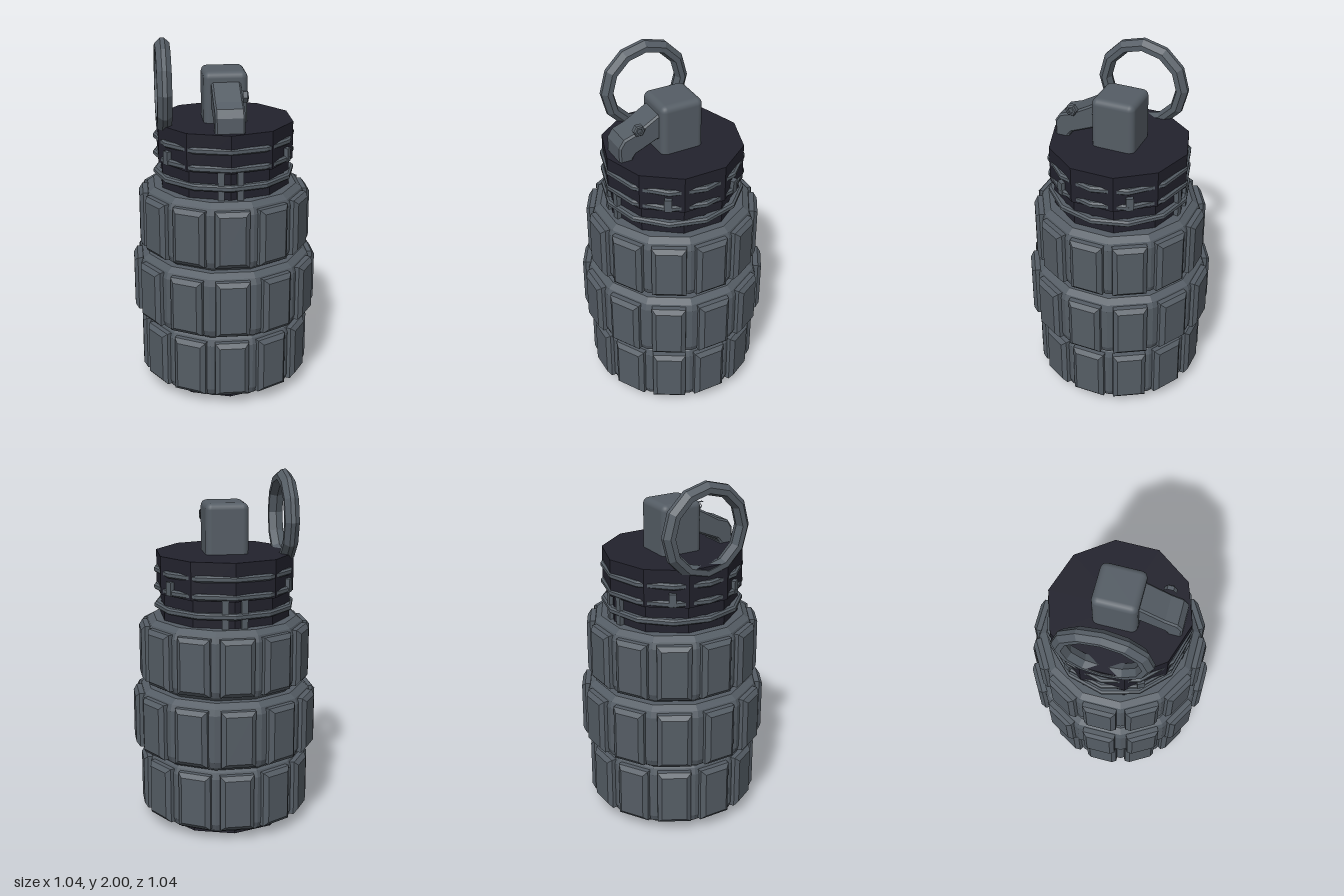
import * as THREE from 'three';
import { RoundedBoxGeometry } from 'three/addons/geometries/RoundedBoxGeometry.js';

const V = (x, y) => new THREE.Vector2(x, y);

// hard-edged copy of a geometry
function flat(geometry) {
  const g = geometry.index ? geometry.toNonIndexed() : geometry;
  g.computeVertexNormals();
  return g;
}

export function createModel() {
  const model = new THREE.Group();
  const steel = new THREE.MeshStandardMaterial({ color: 0x555d65 });
  steel.name = 'steel grey';
  const dark = new THREE.MeshStandardMaterial({ color: 0x22222d });
  dark.name = 'dark navy';

  function add(name, geometry, material, parent = model) {
    const mesh = new THREE.Mesh(geometry, material);
    mesh.name = name;
    parent.add(mesh);
    return mesh;
  }

  // ten-sided core and cap
  add('core', flat(new THREE.CylinderGeometry(0.37, 0.37, 1.36, 10)), dark).position.y = 0.68;
  add('cap', flat(new THREE.CylinderGeometry(0.39, 0.39, 0.21, 10)), dark).position.y = 1.445;

  // bevelled armour plate, its outer face at z = 0.055 from the shape plane
  const w = 0.07, h = 0.135;
  const plateShape = new THREE.Shape([V(-w, -h), V(w, -h), V(w, h), V(-w, h)]);
  const plateGeometry = new THREE.ExtrudeGeometry(plateShape, {
    depth: 0.035, bevelEnabled: true, bevelThickness: 0.02, bevelSize: 0.024, bevelSegments: 1,
  });

  // three bands, each carrying twelve plates
  [['lowerBand', 0.03, 0.42, 0.48], ['middleBand', 0.415, 0.80, 0.52], ['upperBand', 0.80, 1.19, 0.48]]
    .forEach(([name, lo, hi, outer]) => {
      const band = new THREE.Group();
      band.name = name;
      model.add(band);
      const r = outer - 0.04;
      const profile = [
        V(0.34, lo), V(r - 0.045, lo), V(r - 0.012, lo + 0.025), V(r, lo + 0.06),
        V(r, hi - 0.06), V(r - 0.012, hi - 0.025), V(r - 0.045, hi), V(0.34, hi),
      ].map((p) => V(p.x * 1.035, p.y));
      add('bandBody', flat(new THREE.LatheGeometry(profile, 12, Math.PI / 12)), steel, band);
      for (let i = 0; i < 12; i++) {
        const a = i * Math.PI / 6, d = outer - 0.055;
        const plate = add('plate', plateGeometry, steel, band);
        plate.position.set(Math.sin(a) * d, (lo + hi) / 2, Math.cos(a) * d);
        plate.rotation.y = a;
      }
    });

  // wire rings around the neck
  const wire = [V(0.36, -0.018), V(0.385, -0.018), V(0.396, -0.009), V(0.396, 0.009), V(0.385, 0.018), V(0.36, 0.018)];
  for (const y of [1.257, 1.362, 1.46]) {
    add('neckRing', flat(new THREE.LatheGeometry(wire, 12)), steel).position.y = y;
  }

  // small catches joining the wires
  function addCatch(angle, y, width, height, radius) {
    const mesh = add('catch', new THREE.BoxGeometry(width, height, 0.03), steel);
    mesh.position.set(Math.sin(angle) * radius, y, Math.cos(angle) * radius);
    mesh.rotation.y = angle;
  }
  for (const a of [59, 121, -59, -121]) addCatch(a * Math.PI / 180, 1.385, 0.04, 0.075, 0.38);
  for (const a of [0, Math.PI]) {
    for (const s of [-1, 1]) {
      addCatch(a + s * 0.14, 1.31, 0.035, 0.075, 0.365);
      addCatch(a + s * 0.14, 1.215, 0.035, 0.06, 0.365);
    }
  }

  // head block
  add('headBlock', new RoundedBoxGeometry(0.24, 0.32, 0.245, 3, 0.035), steel).position.set(0, 1.67, -0.003);

  // bent lever, drawn in z and y then turned to face forward
  const leverShape = new THREE.Shape([
    V(0.08, 1.64), V(0.13, 1.64), V(0.26, 1.585), V(0.28, 1.56), V(0.28, 1.53),
    V(0.34, 1.53), V(0.34, 1.63), V(0.315, 1.668), V(0.25, 1.69), V(0.12, 1.765), V(0.08, 1.775),
  ]);
  const lever = new THREE.ExtrudeGeometry(leverShape, {
    depth: 0.14, bevelEnabled: true, bevelThickness: 0.01, bevelSize: 0.01, bevelSegments: 1,
  });
  lever.translate(0, 0, -0.07).rotateY(-Math.PI / 2);
  add('lever', lever, steel);

  // hexagonal bolt on the lever
  const boltProfile = [V(0.034, -0.015), V(0.034, 0.008), V(0.027, 0.015), V(0.016, 0.015), V(0.016, 0.004), V(0, 0.004)];
  const bolt = add('leverBolt', flat(new THREE.LatheGeometry(boltProfile, 6)), steel);
  bolt.position.set(0.09, 1.725, 0.243);
  bolt.rotation.z = -Math.PI / 2;

  // upright pull ring with a pointed rim
  const rim = [V(0.192, 0), V(0.208, -0.04), V(0.238, -0.04), V(0.265, -0.012), V(0.265, 0.012),
    V(0.238, 0.04), V(0.208, 0.04), V(0.192, 0)];
  const ring = add('pullRing', flat(new THREE.LatheGeometry(rim, 12)), steel);
  ring.position.set(-0.335, 1.735, 0);
  ring.rotation.z = Math.PI / 2;

  return model;
}
